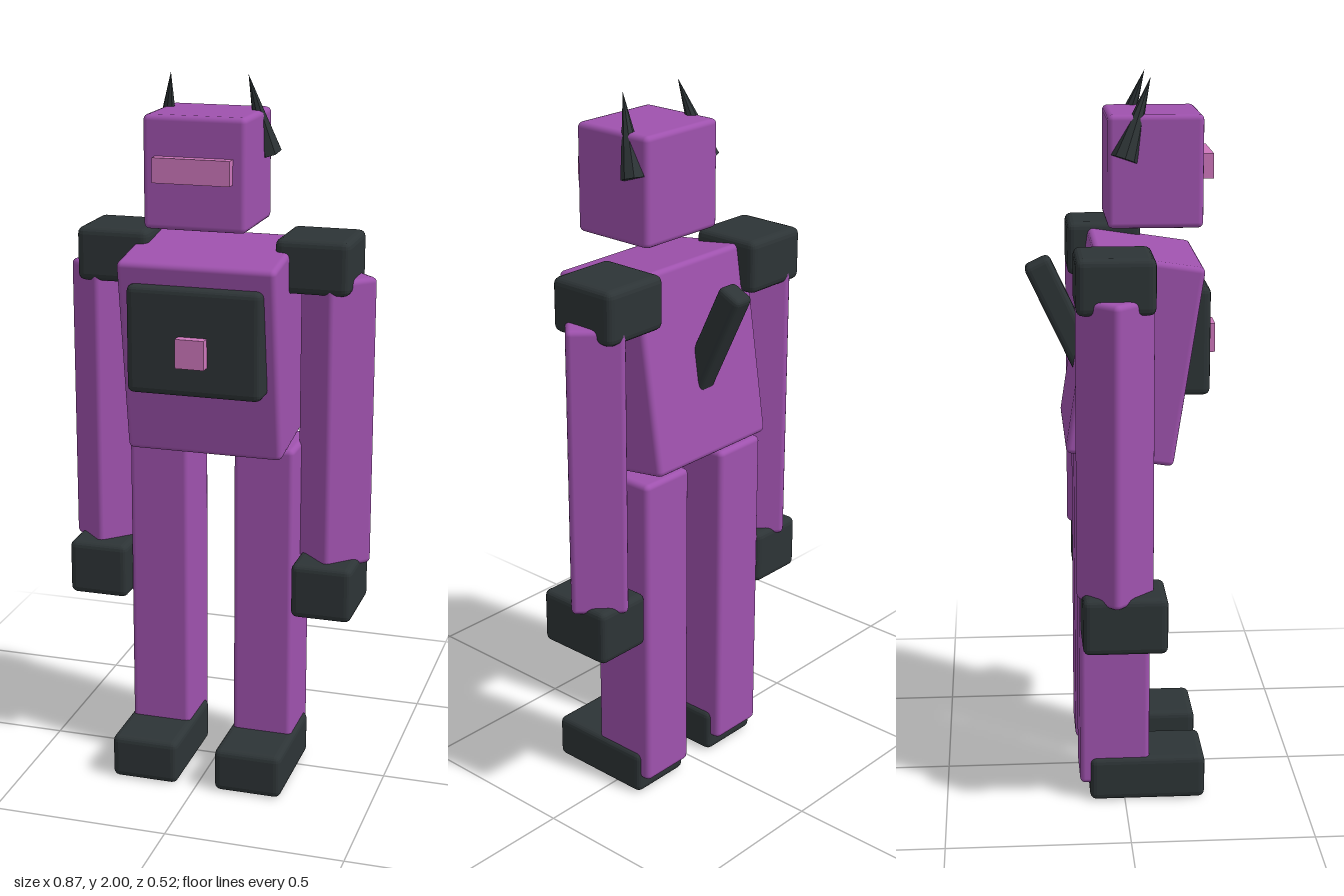
import * as THREE from 'three';
import { RoundedBoxGeometry } from 'three/addons/geometries/RoundedBoxGeometry.js';

export function createModel() {
  const model = new THREE.Group();
  model.name = 'blockyRobot';

  const material = (name, color, flatShading = false) => {
    const m = new THREE.MeshStandardMaterial({ color, flatShading });
    m.name = name;
    return m;
  };
  const purple = material('purple', 0x9f52ae);
  const dark = material('charcoal', 0x2d3436, true);
  const pink = material('pink', 0xcd76bb);

  const add = (name, geometry, mat, x, y, z) => {
    const mesh = new THREE.Mesh(geometry, mat);
    mesh.name = name;
    mesh.position.set(x, y, z);
    model.add(mesh);
    return mesh;
  };
  // Box with softened edges
  const block = (name, mat, [w, h, d], [x, y, z], r = 0.015) =>
    add(name, new RoundedBoxGeometry(w, h, d, 2, r), mat, x, y, z);
  // Sharp-edged box
  const plainBox = (name, mat, [w, h, d], [x, y, z]) =>
    add(name, new THREE.BoxGeometry(w, h, d), mat, x, y, z);

  // Head and visor
  block('head', purple, [0.28, 0.3, 0.255], [0, 1.755, 0.0875]);
  plainBox('visor', pink, [0.21, 0.066, 0.05], [0, 1.766, 0.219]);

  // Torso leans forward, with an upright chest panel
  block('torso', purple, [0.44, 0.55, 0.295], [0, 1.262, 0.028]).rotation.x = 0.152;
  block('chestPanel', dark, [0.375, 0.297, 0.15], [0, 1.307, 0.158], 0.018);
  plainBox('chestButton', pink, [0.08, 0.08, 0.04], [0, 1.285, 0.241]);

  // Slanted pack rod emerging from the back
  block('backRod', dark, [0.066, 0.38, 0.076], [0, 1.327, -0.148], 0.016).rotation.x = -0.44;

  for (const [side, s] of [['left', 1], ['right', -1]]) {
    // Horn passes up through the side of the head
    const base = new THREE.Vector3(s * 0.142, 1.79, 0.003);
    const tip = new THREE.Vector3(s * 0.106, 2.0, 0.075);
    const axis = tip.clone().sub(base);
    const mid = base.clone().add(tip).multiplyScalar(0.5);
    const horn = add(side + 'Horn', new THREE.ConeGeometry(0.036, axis.length(), 8), dark, mid.x, mid.y, mid.z);
    horn.quaternion.setFromUnitVectors(new THREE.Vector3(0, 1, 0), axis.normalize());

    // Arm is turned edge-on, between shoulder pad and hand
    block(side + 'Shoulder', dark, [0.206, 0.15, 0.208], [s * 0.281, 1.495, -0.032], 0.02);
    block(side + 'Arm', purple, [0.155, 0.82, 0.155], [s * 0.332, 1.05, -0.033]).rotation.y = Math.PI / 4;
    block(side + 'Hand', dark, [0.172, 0.158, 0.228], [s * 0.327, 0.583, -0.009], 0.018);

    // Leg and foot
    block(side + 'Leg', purple, [0.172, 0.935, 0.195], [s * 0.152, 0.515, -0.028]);
    block(side + 'Foot', dark, [0.193, 0.127, 0.323], [s * 0.152, 0.0635, 0.064], 0.018);
  }
  return model;
}
